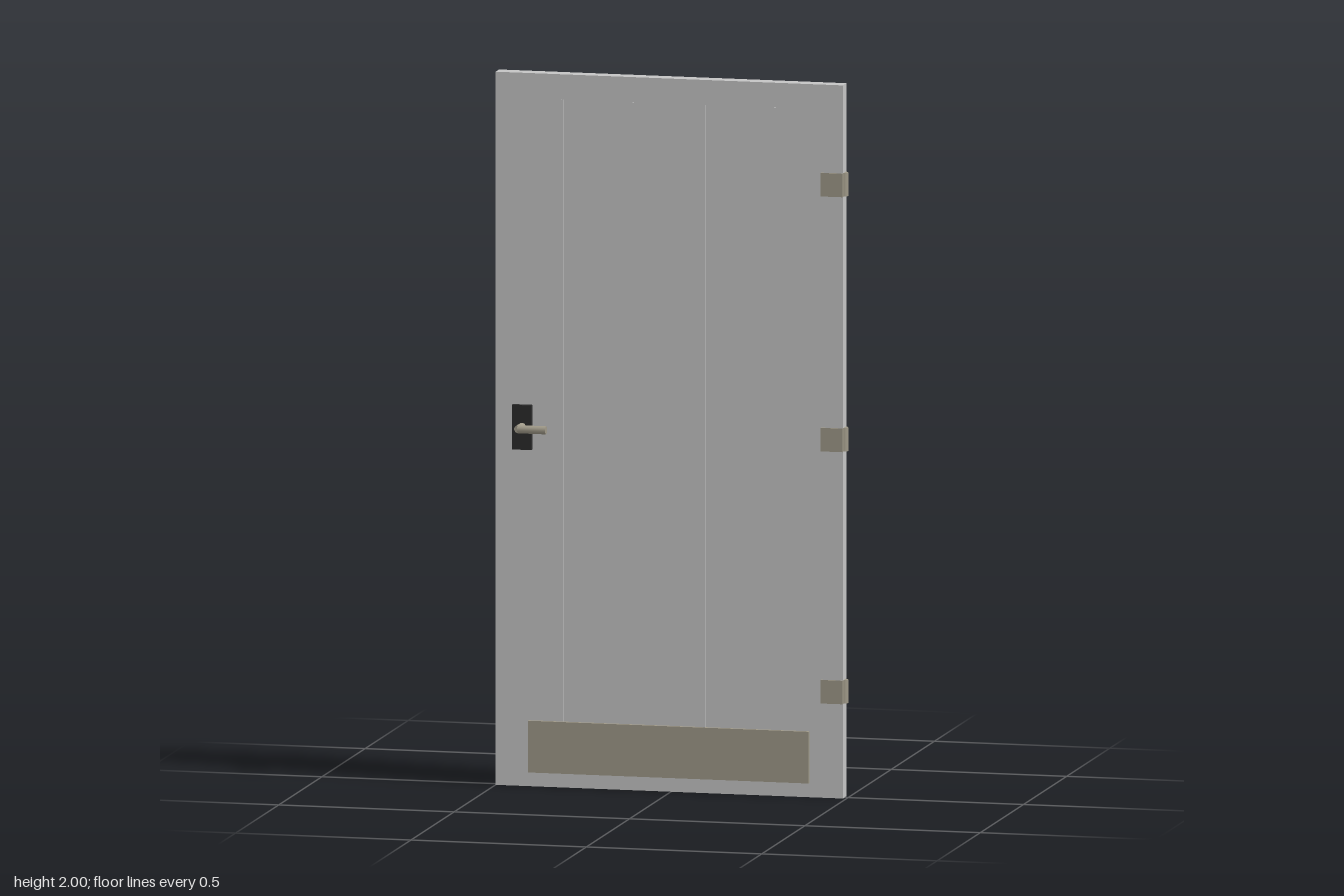
import * as THREE from 'three';

const paint = new THREE.MeshStandardMaterial({ color: 0xc4c4c4 });
paint.name = 'door grey';
const metal = new THREE.MeshStandardMaterial({ color: 0x9f9988 });
metal.name = 'brushed metal';
const black = new THREE.MeshStandardMaterial({ color: 0x2b2b2b });
black.name = 'black';

export function createModel() {
  const door = new THREE.Group();
  door.name = 'door';

  const add = (name, geometry, material, parent = door) => {
    const mesh = new THREE.Mesh(geometry, material);
    mesh.name = name;
    parent.add(mesh);
    return mesh;
  };
  // box given by its limits on each axis
  const box = (name, material, [x0, x1], [y0, y1], [z0, z1], parent) => {
    const mesh = add(name, new THREE.BoxGeometry(x1 - x0, y1 - y0, z1 - z0), material, parent);
    mesh.position.set((x0 + x1) / 2, (y0 + y1) / 2, (z0 + z1) / 2);
    return mesh;
  };

  // main slab
  box('slab', paint, [-0.5, 0.49], [0, 2], [-0.02, 0.02]);

  // back frame: one outline with two panel openings, rails set in from the stile ends
  const outline = [
    [-0.49, 0.02], [-0.4, 0.02], [-0.4, 0.035], [0.39, 0.035], [0.39, 0.02], [0.485, 0.02],
    [0.485, 1.985], [0.39, 1.985], [0.39, 1.97], [-0.4, 1.97], [-0.4, 1.985], [-0.49, 1.985],
  ];
  const frame = new THREE.Shape(outline.map(([x, y]) => new THREE.Vector2(x, y)));
  for (const [y0, y1] of [[0.17, 0.95], [1.07, 1.85]]) {
    const hole = [[-0.4, y0], [-0.4, y1], [0.39, y1], [0.39, y0]];
    frame.holes.push(new THREE.Path(hole.map(([x, y]) => new THREE.Vector2(x, y))));
  }
  const frameGeometry = new THREE.ExtrudeGeometry(frame, { depth: 0.015, bevelEnabled: false });
  add('backFrame', frameGeometry, paint).position.z = -0.035;

  // thin vertical ribs on the front
  for (const x of [-0.31, -0.108, 0.095, 0.297]) {
    box('frontRib', paint, [x - 0.003, x + 0.003], [0.07, 1.93], [0.018, 0.023]);
  }

  // kick plate
  box('kickPlate', metal, [-0.405, 0.395], [0.04, 0.185], [0.02, 0.03]);

  // hinges: leaf on the front, barrel at the edge
  for (const y of [0.298, 1.005, 1.72]) {
    const hinge = new THREE.Group();
    hinge.name = 'hinge';
    hinge.position.y = y;
    door.add(hinge);
    box('hingeLeaf', metal, [0.428, 0.49], [-0.033, 0.033], [0.015, 0.025], hinge);
    add('hingeBarrel', new THREE.CylinderGeometry(0.015, 0.015, 0.066, 8), metal, hinge)
      .position.x = 0.486;
  }

  // lock plates
  box('frontLockPlate', black, [-0.45, -0.395], [0.945, 1.07], [0.02, 0.035]);
  box('backLockPlate', black, [-0.45, -0.395], [0.945, 1.07], [-0.0355, -0.03]);

  // lever handles on both sides
  for (const side of [1, -1]) {
    const handle = new THREE.Group();
    handle.name = side > 0 ? 'frontHandle' : 'backHandle';
    handle.position.set(-0.421, 1.01, 0);
    door.add(handle);
    const stem = add('handleStem', new THREE.CylinderGeometry(0.011, 0.011, 0.06, 16), metal, handle);
    stem.rotation.x = Math.PI / 2;
    stem.position.z = side * 0.052;
    const lever = add('handleLever', new THREE.CylinderGeometry(0.0115, 0.0115, 0.08, 16), metal, handle);
    lever.rotation.z = Math.PI / 2;
    lever.position.set(0.04, 0, side * 0.081);
  }

  return door;
}
